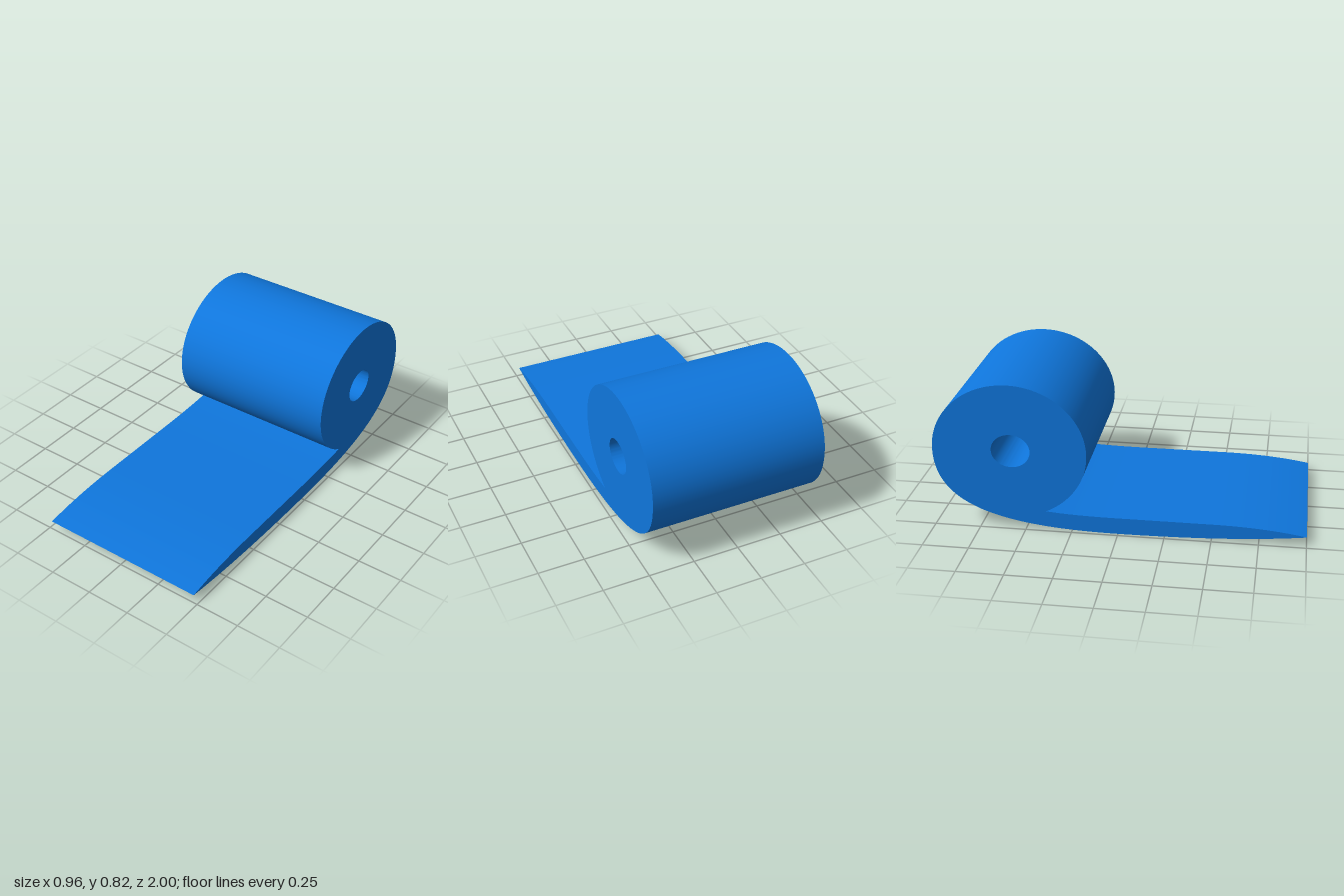
import * as THREE from 'three';
import { toCreasedNormals } from 'three/addons/utils/BufferGeometryUtils.js';

const WIDTH = 0.96;

export function createModel() {
  const group = new THREE.Group();
  group.name = 'partlyUnrolledRoll';
  const blue = new THREE.MeshStandardMaterial({ color: 0x0f76dc });
  blue.name = 'blue';

  // Side profile: horizontal axis is z, vertical axis is y
  const profile = new THREE.Shape();
  profile.moveTo(1, 0.053);
  // top of the loose sheet, back to the notch under the roll
  profile.bezierCurveTo(0.85, 0.08, 0.68, 0.092, 0.5, 0.092);
  profile.lineTo(0, 0.092);
  profile.bezierCurveTo(-0.15, 0.092, -0.3, 0.096, -0.4, 0.108);
  // over the roll to its rearmost point
  profile.absellipse(-0.583, 0.44, 0.417, 0.376, -1.1, Math.PI, false, 0);
  // down the back and along the underside to the tapered front edge
  profile.bezierCurveTo(-1, 0.14, -0.72, 0, 0, 0);
  profile.bezierCurveTo(0.35, 0, 0.7, 0.012, 1, 0.053);

  // oval core hole
  const hole = new THREE.Path();
  hole.absellipse(-0.574, 0.447, 0.105, 0.092, 0, Math.PI * 2, true, 0);
  profile.holes.push(hole);

  const extruded = new THREE.ExtrudeGeometry(profile, { depth: WIDTH, bevelEnabled: false, curveSegments: 40 });
  extruded.translate(0, 0, -WIDTH / 2);
  extruded.rotateY(-Math.PI / 2);

  const roll = new THREE.Mesh(toCreasedNormals(extruded, 0.6), blue);
  roll.name = 'rollWithLooseSheet';
  group.add(roll);
  return group;
}
